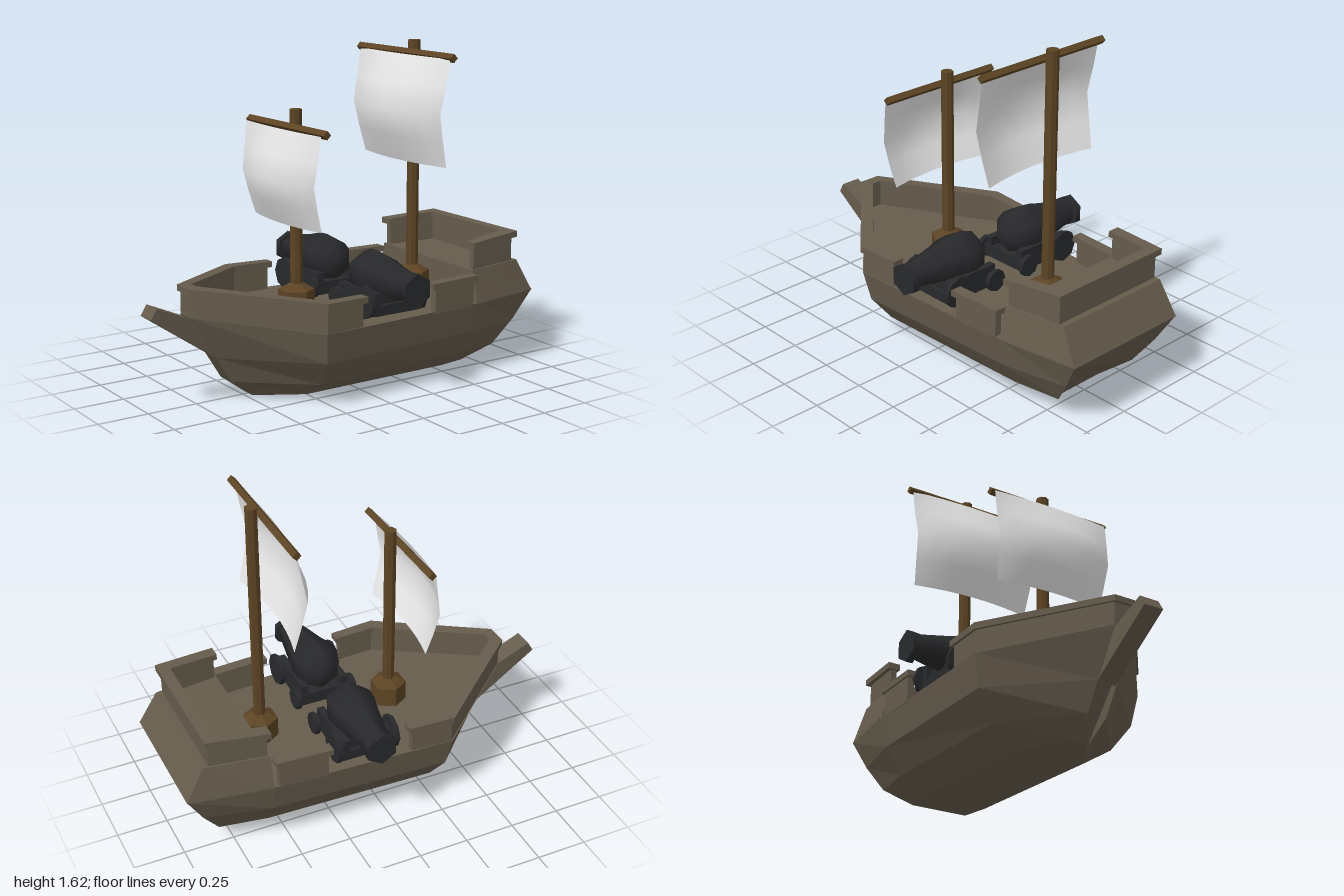
import * as THREE from 'three';

const mat = (name, color, extra = {}) =>
  Object.assign(new THREE.MeshStandardMaterial({ color, ...extra }), { name });

// Skin a list of equal-length rings into a closed, flat-faced solid
function loft(sections) {
  const tris = [];
  const n = sections[0].length;
  for (let s = 0; s < sections.length - 1; s++) {
    const a = sections[s], b = sections[s + 1];
    for (let i = 0; i < n; i++) {
      const j = (i + 1) % n;
      tris.push([a[i], b[i], b[j]], [a[i], b[j], a[j]]);
    }
  }
  const first = sections[0], last = sections[sections.length - 1];
  for (let i = 1; i < n - 1; i++) {
    tris.push([first[0], first[i], first[i + 1]], [last[0], last[i + 1], last[i]]);
  }
  // turn the faces outward if the solid came out inside-out
  const v = (p) => new THREE.Vector3(...p).sub(new THREE.Vector3(...first[0]));
  let volume = 0;
  for (const [a, b, c] of tris) volume += v(a).dot(v(b).cross(v(c)));
  if (volume < 0) tris.forEach((t) => t.reverse());
  const g = new THREE.BufferGeometry();
  g.setAttribute('position', new THREE.Float32BufferAttribute(tris.flat(2), 3));
  g.computeVertexNormals();
  return g;
}

// Wall along a path of [outerX, outerZ, innerX, innerZ, bottomY, topY]
function wall(path, wrap = false) {
  const mirrored = path.map(([a, b, c, d, e, f]) => [a, -b, c, -d, e, f]).reverse();
  const all = wrap ? [...path, ...mirrored] : path;
  return loft(all.map(([xo, zo, xi, zi, y0, y1]) =>
    [[xo, y0, zo], [xo, y1, zo], [xi, y1, zi], [xi, y0, zi]]));
}

export function createModel() {
  const ship = new THREE.Group();
  ship.name = 'sailingShip';
  const hullMat = mat('weatheredPlank', 0x665c4d, { flatShading: true });
  const woodMat = mat('mastWood', 0x5c4424, { flatShading: true });
  const ironMat = mat('iron', 0x28292b);
  const ironFlat = ironMat;
  const sailMat = mat('sailCloth', 0xf6f6f6, { side: THREE.DoubleSide });

  const add = (name, geo, material, parent = ship) => {
    const m = new THREE.Mesh(geo, material);
    m.name = name;
    parent.add(m);
    return m;
  };

  // Hull: half-sections [x, y, z] from sheer to keel, mirrored into rings
  const half = [
    [[-0.8, 0.43, 0.05], [-0.67, 0.22, 0.05], [-0.59, 0.09, 0.05], [-0.47, 0, 0.04]],
    [[-0.32, 0.37, 0.45], [-0.3, 0.22, 0.42], [-0.27, 0.09, 0.32], [-0.25, 0, 0.17]],
    [[0.59, 0.37, 0.405], [0.59, 0.22, 0.375], [0.58, 0.09, 0.29], [0.56, 0, 0.17]],
    [[0.995, 0.37, 0.34], [0.91, 0.22, 0.3], [0.82, 0.09, 0.25], [0.7, 0, 0.15]],
  ];
  const ring = (h) => [...h, ...h.map(([x, y, z]) => [x, y, -z]).reverse()];
  add('hull', loft(half.map(ring)), hullMat);

  // Raised stern block carrying the quarterdeck
  add('quarterdeck', loft([
    ring([[0.59, 0.525, 0.365], [0.59, 0.365, 0.405]]),
    ring([[0.905, 0.53, 0.32], [0.995, 0.365, 0.34]]),
  ]), hullMat);

  // Bowsprit
  const sprit = (z) => [[-0.97, 0.5, z], [-1, 0.45, z], [-0.66, 0.215, z], [-0.79, 0.42, z]];
  add('bowsprit', loft([sprit(0.05), sprit(-0.05)]), hullMat);

  // Bow bulwark with rail
  add('bowBulwark', wall([
    [-0.11, 0.432, -0.11, 0.4, 0.36, 0.49],
    [-0.315, 0.447, -0.3, 0.41, 0.36, 0.49],
    [-0.795, 0.05, -0.765, 0.035, 0.42, 0.545],
  ], true), hullMat);
  add('bowRail', wall([
    [-0.09, 0.444, -0.09, 0.388, 0.483, 0.512],
    [-0.32, 0.46, -0.3, 0.396, 0.483, 0.515],
    [-0.81, 0.055, -0.752, 0.025, 0.54, 0.568],
  ], true), hullMat);

  // Waist bulwarks with rails
  for (const s of [1, -1]) {
    add('waistBulwark', wall([
      [0.32, 0.42, 0.32, 0.385, 0.36, 0.49],
      [0.565, 0.405, 0.565, 0.37, 0.36, 0.49],
    ].map(([a, b, c, d, e, f]) => [a, b * s, c, d * s, e, f])), hullMat);
    add('waistRail', wall([
      [0.3, 0.432, 0.3, 0.375, 0.483, 0.512],
      [0.58, 0.415, 0.58, 0.358, 0.483, 0.512],
    ].map(([a, b, c, d, e, f]) => [a, b * s, c, d * s, e, f])), hullMat);
  }

  // Stern walls with rail
  add('sternBulwark', wall([
    [0.6, 0.355, 0.6, 0.325, 0.52, 0.64],
    [0.875, 0.315, 0.85, 0.288, 0.52, 0.655],
  ], true), hullMat);
  add('sternRail', wall([
    [0.585, 0.378, 0.585, 0.315, 0.633, 0.663],
    [0.893, 0.335, 0.835, 0.278, 0.65, 0.68],
  ], true), hullMat);

  // Curved sail from rows of [y, edgeX, centreX, halfWidth]
  const sail = (rows) => {
    const cols = 8;
    const g = new THREE.PlaneGeometry(1, 1, cols, rows.length - 1);
    const p = g.attributes.position;
    for (let i = 0; i < p.count; i++) {
      const [y, xe, xc, w] = rows[Math.floor(i / (cols + 1))];
      const u = ((i % (cols + 1)) / cols) * 2 - 1;
      p.setXYZ(i, xc + (xe - xc) * u * u, y, u * w);
    }
    g.computeVertexNormals();
    return g;
  };

  // Masts, yards and sails
  const rigs = [
    { name: 'fore', x: -0.195, top: 1.335, yard: [-0.243, 1.255, 0.335],
      rows: [[1.25, -0.268, -0.285, 0.322], [1.13, -0.283, -0.335, 0.32], [1.02, -0.3, -0.375, 0.312],
        [0.91, -0.275, -0.333, 0.302], [0.8, -0.243, -0.278, 0.29]] },
    { name: 'main', x: 0.495, top: 1.623, yard: [0.44, 1.565, 0.38],
      rows: [[1.56, 0.432, 0.41, 0.362], [1.43, 0.41, 0.345, 0.36], [1.3, 0.383, 0.292, 0.353],
        [1.17, 0.41, 0.34, 0.343], [1.04, 0.442, 0.4, 0.33]] },
  ];
  for (const r of rigs) {
    const g = new THREE.Group();
    g.name = r.name + 'Rig';
    ship.add(g);
    add('mast', new THREE.CylinderGeometry(0.03, 0.03, r.top - 0.37, 8)
      .translate(r.x, (r.top + 0.37) / 2, 0), woodMat, g);
    add('mastBase', new THREE.CylinderGeometry(0.088, 0.088, 0.1, 6).translate(r.x, 0.42, 0), woodMat, g);
    add('mastCollar', new THREE.CylinderGeometry(0.035, 0.088, 0.03, 6).translate(r.x, 0.485, 0), woodMat, g);
    const [yx, yy, len] = r.yard;
    add('yard', new THREE.CylinderGeometry(0.021, 0.021, len * 2, 4)
      .rotateX(Math.PI / 2).translate(yx, yy, 0), woodMat, g);
    add('sail', sail(r.rows), sailMat, g);
  }

  // Cannons, one firing over each side
  const barrel = [[0, 0.08], [0.05, 0.085], [0.1, 0.125], [0.125, 0.19], [0.122, 0.25], [0.1, 0.33],
    [0.062, 0.52]].map(([a, b]) => new THREE.Vector2(a, b));
  for (const s of [1, -1]) {
    const c = new THREE.Group();
    c.name = s > 0 ? 'frontCannon' : 'backCannon';
    c.position.set(0.11, 0, 0);
    c.rotation.y = s > 0 ? 0 : Math.PI;
    ship.add(c);
    add('barrel', new THREE.LatheGeometry(barrel, 6).rotateX(Math.PI / 2)
      .translate(0, 0.54, 0), ironMat, c);
    add('muzzleRing', new THREE.CylinderGeometry(0.08, 0.08, 0.035, 6)
      .rotateX(Math.PI / 2).translate(0, 0.535, 0.537), ironFlat, c);
    add('carriageBed', new THREE.BoxGeometry(0.2, 0.05, 0.3).translate(0, 0.415, 0.24), ironFlat, c);
    for (const e of [1, -1]) {
      add('carriageCheek', new THREE.BoxGeometry(0.035, 0.11, 0.3)
        .translate(e * 0.105, 0.445, 0.24), ironFlat, c);
    }
    for (const [z, r] of [[0.345, 0.08], [0.11, 0.055]]) {
      add('axle', new THREE.BoxGeometry(0.29, 0.05, 0.05).translate(0, 0.375 + r, z), ironFlat, c);
      for (const e of [1, -1]) {
        add('wheel', new THREE.CylinderGeometry(r, r, 0.025, 8).rotateZ(Math.PI / 2)
          .translate(e * 0.147, 0.375 + r, z), ironFlat, c);
      }
    }
  }
  return ship;
}
